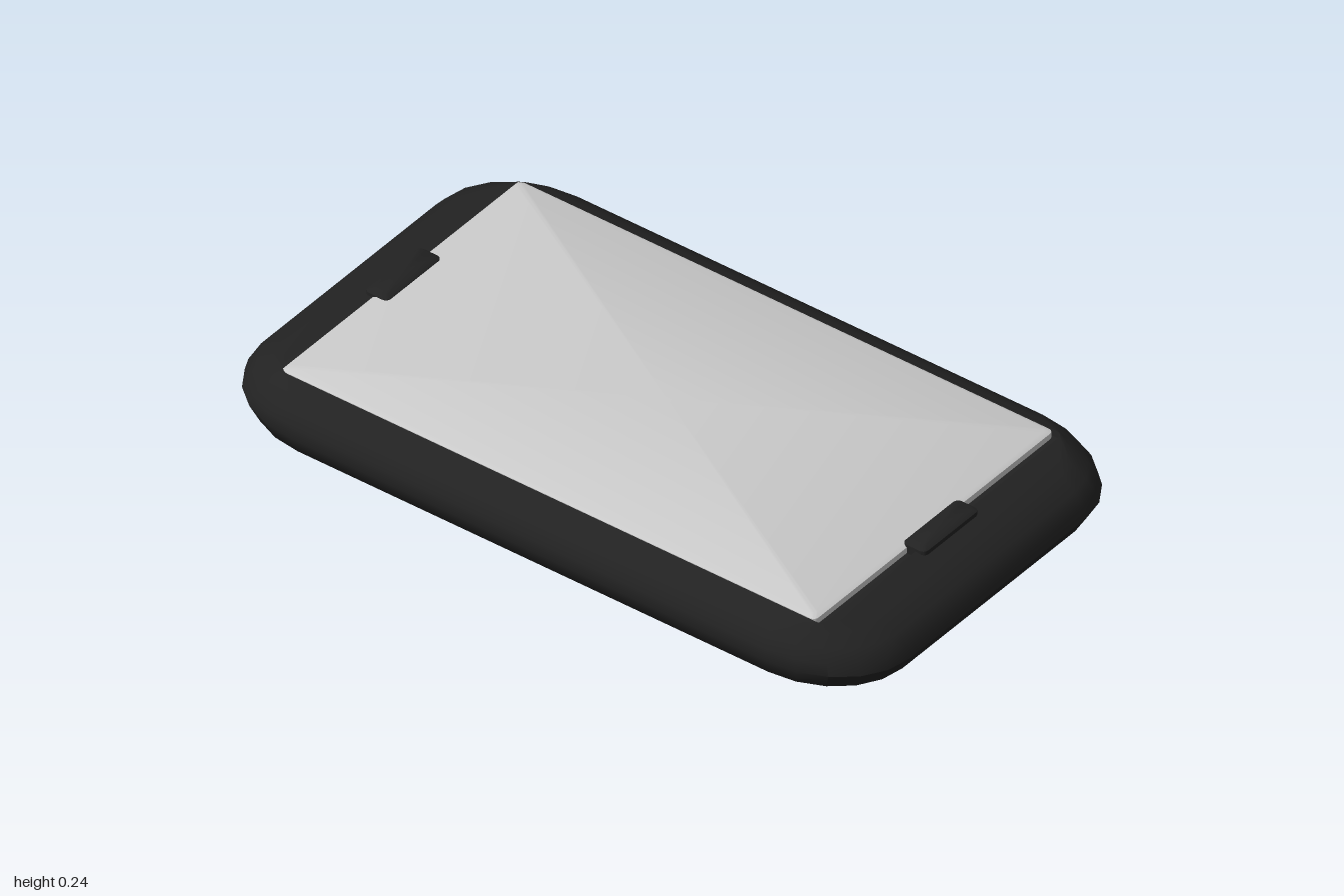
import * as THREE from 'three';
import { toCreasedNormals } from 'three/addons/utils/BufferGeometryUtils.js';

const CORNER = 5; // segments per rounded corner

// Stacked rounded rectangles, bottom to top: [halfX, halfZ, cornerX, cornerZ, y], capped at both ends
function loft(levels, crease = 0.7) {
  const pos = [], idx = [], n = 4 * (CORNER + 1);
  const signs = [[1, 1], [-1, 1], [-1, -1], [1, -1]];
  for (const [hx, hz, rx, rz, y] of levels) {
    signs.forEach(([sx, sz], q) => {
      for (let i = 0; i <= CORNER; i++) {
        const a = (q + i / CORNER) * Math.PI / 2;
        pos.push(sx * (hx - rx) + rx * Math.cos(a), y, sz * (hz - rz) + rz * Math.sin(a));
      }
    });
  }
  const last = levels.length - 1;
  const bottom = pos.length / 3, top = bottom + 1;
  pos.push(0, levels[0][4], 0, 0, levels[last][4], 0);
  for (let i = 0; i < n; i++) {
    const j = (i + 1) % n;
    for (let l = 0; l < last; l++) {
      const a = l * n + i, b = l * n + j;
      idx.push(a, a + n, b, b, a + n, b + n);
    }
    idx.push(bottom, i, j, top, last * n + j, last * n + i);
  }
  const g = new THREE.BufferGeometry();
  g.setAttribute('position', new THREE.Float32BufferAttribute(pos, 3));
  g.setIndex(idx);
  return toCreasedNormals(g, crease);
}

export function createModel() {
  const group = new THREE.Group();
  const black = new THREE.MeshStandardMaterial({ color: 0x222222 });
  const darker = new THREE.MeshStandardMaterial({ color: 0x141414 });
  const grey = new THREE.MeshStandardMaterial({ color: 0xcccccc });
  const add = (name, geometry, material, x = 0, y = 0, z = 0) => {
    const m = new THREE.Mesh(geometry, material);
    m.name = name;
    m.position.set(x, y, z);
    group.add(m);
    return m;
  };

  // Rounded case with a shallow recess for the screen
  add('case', loft([
    [0.36, 0.74, 0.10, 0.12, 0.022],
    [0.44, 0.84, 0.14, 0.16, 0.031],
    [0.505, 0.925, 0.18, 0.21, 0.05],
    [0.555, 0.972, 0.21, 0.25, 0.08],
    [0.574, 1.0, 0.22, 0.27, 0.128],
    [0.57, 0.992, 0.22, 0.27, 0.16],
    [0.552, 0.965, 0.20, 0.25, 0.19],
    [0.522, 0.91, 0.15, 0.18, 0.213],
    [0.495, 0.855, 0.06, 0.08, 0.226],
    [0.48, 0.832, 0.02, 0.02, 0.23],
    [0.478, 0.83, 0.02, 0.02, 0.212],
  ]), black);

  // Screen panel with softened edges
  add('screen', loft([
    [0.477, 0.82, 0.015, 0.015, 0.2],
    [0.477, 0.82, 0.015, 0.015, 0.229],
    [0.465, 0.808, 0.015, 0.015, 0.235],
  ], 0.5), grey, 0, 0, -0.015);

  // Retaining tabs at both ends of the screen
  for (const s of [1, -1]) {
    add(s > 0 ? 'frontTab' : 'backTab', loft([
      [0.11, 0.035, 0.015, 0.015, 0.2],
      [0.11, 0.035, 0.015, 0.015, 0.237],
      [0.1, 0.025, 0.015, 0.015, 0.244],
    ]), black, 0, 0, s * 0.825);
  }

  // Raised camera plate and lens on the underside
  add('cameraPlate', loft([
    [0.175, 0.19, 0.04, 0.04, 0.006],
    [0.195, 0.21, 0.05, 0.05, 0.012],
    [0.22, 0.235, 0.06, 0.06, 0.024],
    [0.22, 0.235, 0.06, 0.06, 0.06],
  ]), black, -0.26, 0, 0.545);
  add('cameraLens', new THREE.CylinderGeometry(0.17, 0.165, 0.03, 32), darker, -0.265, 0.015, 0.55);

  return group;
}
